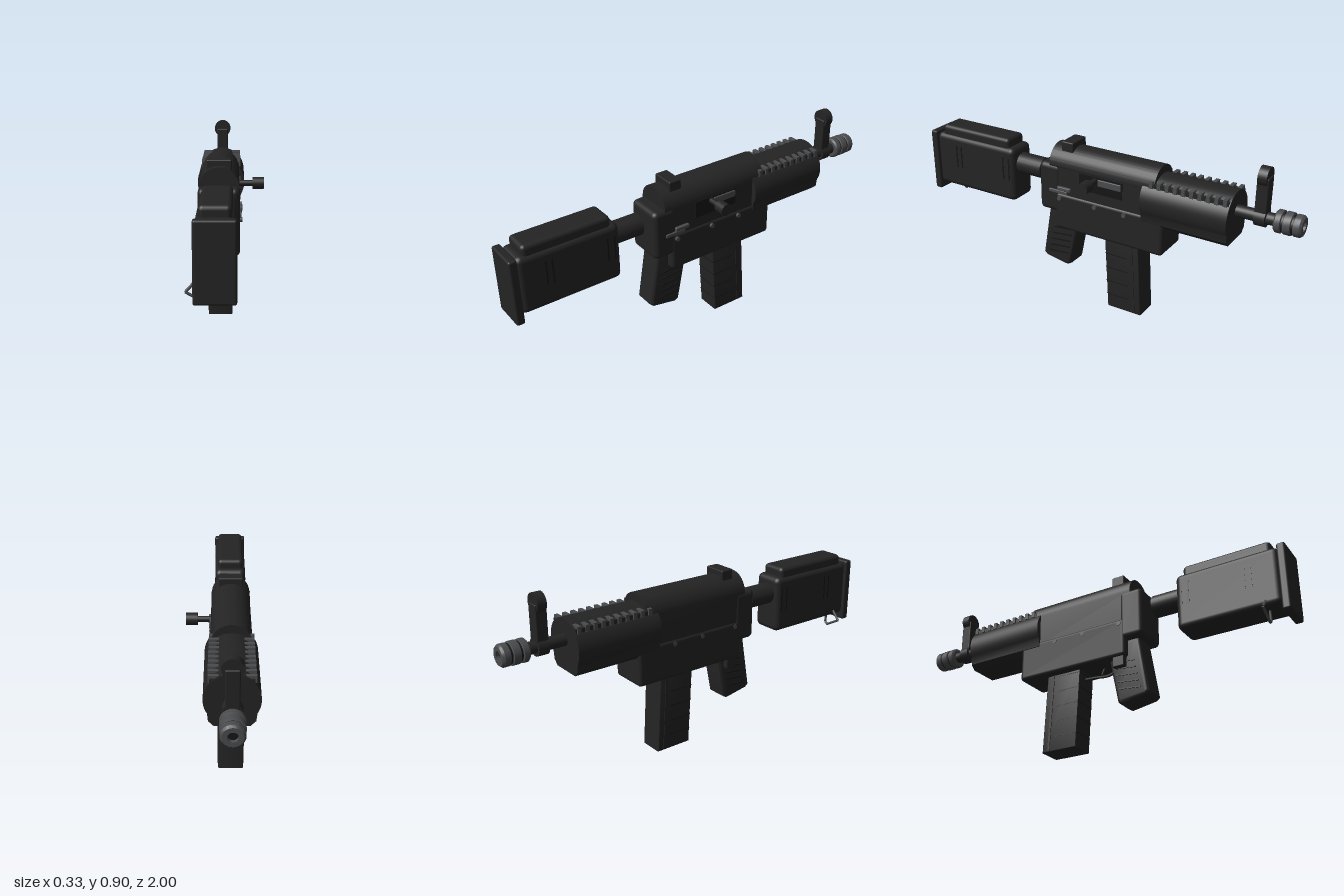
import * as THREE from 'three';
import { RoundedBoxGeometry } from 'three/addons/geometries/RoundedBoxGeometry.js';
import { toCreasedNormals } from 'three/addons/utils/BufferGeometryUtils.js';

const mat = (name, color) => {
  const m = new THREE.MeshStandardMaterial({ color });
  m.name = name;
  return m;
};

export function createModel() {
  const black = mat('black', 0x242424);
  const dark = mat('dark groove', 0x161616);
  const metal = mat('grey metal', 0x4a4b4d);

  const root = new THREE.Group();
  root.name = 'model';
  const body = new THREE.Group(); // built around its own centre line
  body.name = 'body';
  body.position.x = -0.045;
  root.add(body);

  const add = (name, geo, m = black) => {
    const mesh = new THREE.Mesh(geo, m);
    mesh.name = name;
    body.add(mesh);
    return mesh;
  };
  // Box from ranges, rounded when r > 0
  const box = (name, [x0, x1], [y0, y1], [z0, z1], r = 0, m = black) => {
    const s = [x1 - x0, y1 - y0, z1 - z0];
    const mesh = add(name, r ? new RoundedBoxGeometry(...s, 3, r) : new THREE.BoxGeometry(...s), m);
    mesh.position.set((x0 + x1) / 2, (y0 + y1) / 2, (z0 + z1) / 2);
    return mesh;
  };
  // Cylinder between two points
  const rod = (name, a, b, r, m = black, seg = 24) => {
    const p = new THREE.Vector3(...a), q = new THREE.Vector3(...b);
    const d = q.clone().sub(p);
    const mesh = add(name, new THREE.CylinderGeometry(r, r, d.length(), seg), m);
    mesh.position.copy(p).add(q).multiplyScalar(0.5);
    mesh.quaternion.setFromUnitVectors(new THREE.Vector3(0, 1, 0), d.normalize());
    return mesh;
  };
  // Side outline of [z, y] points, extruded across the width with a bevel
  const slab = (name, pts, width, bevel, m = black) => {
    const shape = new THREE.Shape(pts.map(([z, y]) => new THREE.Vector2(-z, y)));
    const geo = new THREE.ExtrudeGeometry(shape, {
      depth: width - 2 * bevel, bevelSize: bevel, bevelOffset: -bevel,
      bevelThickness: bevel, bevelSegments: 3,
    });
    geo.translate(0, 0, bevel - width / 2).rotateY(Math.PI / 2);
    return add(name, toCreasedNormals(geo, 0.6), m);
  };
  // Cross-section in x, y run along z
  const run = (name, shape, z0, z1) => {
    const geo = new THREE.ExtrudeGeometry(shape, { depth: z1 - z0, bevelEnabled: false, curveSegments: 24 });
    geo.translate(0, 0, z0);
    return add(name, toCreasedNormals(geo, 0.5));
  };

  // Receiver: round-topped upper, boxy lower, rear cap
  const upper = new THREE.Shape();
  upper.moveTo(-0.09, 0.54);
  upper.lineTo(0.09, 0.54);
  upper.lineTo(0.09, 0.71);
  upper.absarc(0, 0.712, 0.092, 0, Math.PI, false);
  upper.lineTo(-0.09, 0.54);
  run('upperReceiver', upper, -0.33, 0.24);
  box('lowerReceiver', [-0.096, 0.096], [0.385, 0.575], [-0.38, 0.21], 0.018);
  box('rearCap', [-0.095, 0.095], [0.47, 0.718], [0.18, 0.302], 0.025);
  box('rearSight', [-0.058, 0.058], [0.77, 0.831], [0.125, 0.19], 0.006);

  // Handguard with a boxed underside
  const guard = new THREE.Shape();
  guard.moveTo(-0.075, 0.525);
  guard.lineTo(0.075, 0.525);
  guard.lineTo(0.098, 0.548);
  guard.lineTo(0.102, 0.586);
  guard.absarc(0, 0.646, 0.119, -0.528, Math.PI + 0.528, false);
  guard.lineTo(-0.098, 0.548);
  run('handguard', guard, -0.695, -0.27);
  for (const s of [-1, 1]) {
    for (let i = 0; i < 10; i++) {
      const z = -0.315 - i * 0.04;
      const x = s * 0.077;
      box('railTooth', [x - 0.022, x + 0.022], [0.72, 0.752], [z - 0.009, z + 0.009], 0, metal);
    }
    box('railBase', [s * 0.072 - 0.02, s * 0.072 + 0.02], [0.715, 0.74], [-0.69, -0.3]);
  }

  // Barrel and front sight
  rod('barrel', [0, 0.67, -0.66], [0, 0.67, -0.9], 0.028);
  rod('barrelCollar', [0, 0.67, -0.785], [0, 0.67, -0.835], 0.042);
  box('frontSightPost', [-0.03, 0.03], [0.66, 0.86], [-0.837, -0.782], 0.006);
  rod('frontSightDisc', [0, 0.861, -0.788], [0, 0.861, -0.83], 0.044, black, 32);

  // Stepped muzzle, hollow at the tip
  const muzzle = new THREE.LatheGeometry([
    [0, 0.875], [0.044, 0.875], [0.052, 0.882], [0.052, 0.905], [0.043, 0.909], [0.043, 0.915],
    [0.052, 0.919], [0.052, 0.95], [0.043, 0.954], [0.043, 0.96], [0.05, 0.964], [0.05, 0.99],
    [0.042, 1], [0.022, 1], [0.022, 0.98], [0, 0.98],
  ].map(([r, y]) => new THREE.Vector2(r, y)), 28);
  muzzle.rotateX(-Math.PI / 2);
  add('muzzle', toCreasedNormals(muzzle, 0.6), metal).position.y = 0.67;
  rod('bore', [0, 0.67, -0.97], [0, 0.67, -0.984], 0.021, dark);
  for (const z of [-0.912, -0.957]) rod('muzzleGroove', [0, 0.67, z - 0.004], [0, 0.67, z + 0.004], 0.045, dark);

  // Ejection port, bolt and charging handle on the left side
  box('ejectionPort', [0.088, 0.094], [0.622, 0.705], [-0.165, 0.07], 0, dark);
  box('bolt', [0.09, 0.1], [0.664, 0.698], [-0.16, -0.035], 0.004, metal);
  rod('handleStem', [0.08, 0.687, -0.02], [0.16, 0.687, -0.02], 0.014);
  rod('handleKnob', [0.156, 0.687, -0.02], [0.21, 0.687, -0.02], 0.029);

  // Selector lever and cross pins
  box('selectorLever', [0.09, 0.108], [0.595, 0.615], [0.115, 0.19], 0.005, metal);
  box('selectorPlate', [0.09, 0.102], [0.575, 0.593], [0.135, 0.24], 0.004, metal);
  for (const z of [0.18, -0.02, -0.18]) rod('pin', [-0.098, 0.552, z], [0.107, 0.552, z], 0.011, metal, 16);

  // Grip with side ridges
  slab('grip', [[0.265, 0.48], [0.312, 0.2], [0.295, 0.185], [0.17, 0.163], [0.15, 0.175], [0.105, 0.4], [0.12, 0.48]], 0.12, 0.015);
  for (let i = 0; i < 5; i++) {
    const y = 0.23 + i * 0.035;
    const z = 0.215 - i * 0.007;
    const ridge = box('gripRidge', [-0.064, 0.064], [y - 0.003, y + 0.003], [z - 0.055, z + 0.055], 0, dark);
    ridge.rotation.x = 0.1;
  }
  box('sideCatch', [-0.087, -0.055], [0.337, 0.41], [0.14, 0.2], 0.006);

  // Trigger and its guard
  const guardPath = new THREE.CatmullRomCurve3(
    [[0.115, 0.385], [0.09, 0.352], [0.06, 0.346], [0, 0.352], [-0.07, 0.355]].map(([z, y]) => new THREE.Vector3(0, y, z)));
  add('triggerGuard', new THREE.TubeGeometry(guardPath, 24, 0.007, 8));
  rod('trigger', [0, 0.39, 0.05], [0, 0.358, 0.035], 0.007);

  // Magazine with edge rails and horizontal seams
  slab('magazine', [[-0.053, 0.41], [-0.075, 0.003], [-0.258, 0.003], [-0.236, 0.41]], 0.12, 0.004);
  for (const s of [-1, 1]) {
    const rail = box('magazineRail', [s * 0.06 - 0.003, s * 0.06 + 0.003], [0.01, 0.39], [-0.218, -0.207]);
    rail.rotation.x = 0.054;
  }
  for (let i = 0; i < 5; i++) {
    const y = 0.075 + i * 0.075;
    const shift = -0.075 + y * 0.054;
    box('magazineSeam', [-0.0605, 0.0605], [y - 0.002, y + 0.002], [shift - 0.12, shift + 0.001], 0, dark);
  }

  // Stock
  rod('stockTube', [0, 0.64, 0.33], [0, 0.64, 0.5], 0.053);
  box('stockBody', [-0.078, 0.078], [0.447, 0.73], [0.47, 0.965], 0.028);
  box('cheekRest', [-0.065, 0.065], [0.7, 0.775], [0.505, 0.93], 0.02);
  box('buttPlate', [-0.083, 0.083], [0.41, 0.735], [0.96, 1], 0.01);
  for (const s of [-1, 1])
    for (const z of [0.5, 0.535, 0.805, 0.835])
      box('stockSlot', [s * 0.078 - 0.001, s * 0.078 + 0.001], [0.56, 0.68], [z - 0.004, z + 0.004], 0, dark);

  // Sling loop hanging from the stock
  const loop = [[-0.075, 0.475], [-0.115, 0.43], [-0.04, 0.387], [-0.025, 0.4], [-0.03, 0.46]];
  for (let i = 0; i < loop.length - 1; i++)
    rod('slingLoop', [...loop[i], 0.89], [...loop[i + 1], 0.89], 0.006, metal, 8);

  return root;
}
